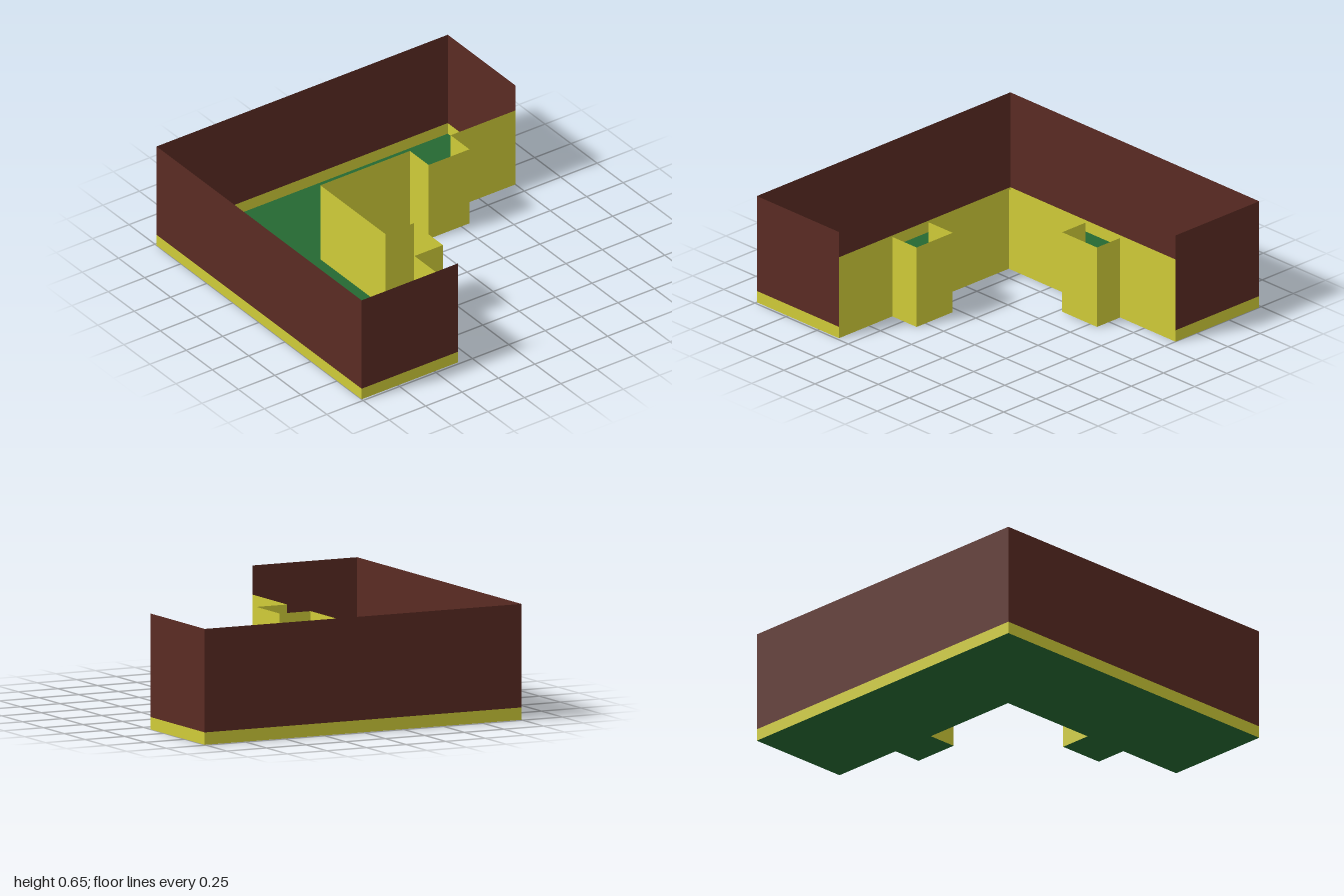
import * as THREE from 'three';

const mat = (color) => new THREE.MeshStandardMaterial({ color, side: THREE.DoubleSide, flatShading: true });

// Outer plan outline as [x, z], from one end wall round to the other
const OUTER = [[-0.335, -1], [-0.985, -1], [-0.985, 1], [0.985, 1], [0.985, 0.34]];
// Courtyard side with its two square bays
const INNER = [
  [0.985, 0.34], [0.57, 0.34], [0.57, 0.145], [0.29, 0.145], [0.29, 0.34],
  [-0.335, 0.34], [-0.335, -0.275], [-0.155, -0.275], [-0.155, -0.555],
  [-0.335, -0.555], [-0.335, -1],
];

// Thin upright sheets following a plan path between two heights
function wallRun(name, path, y0, y1, material) {
  const group = new THREE.Group();
  group.name = name;
  for (let i = 0; i < path.length - 1; i++) {
    const [ax, az] = path[i];
    const [bx, bz] = path[i + 1];
    const panel = new THREE.Mesh(
      new THREE.PlaneGeometry(Math.hypot(bx - ax, bz - az), y1 - y0), material);
    panel.name = name + 'Panel';
    panel.position.set((ax + bx) / 2, (y0 + y1) / 2, (az + bz) / 2);
    // plane normal points away from the enclosed floor
    panel.rotation.y = Math.atan2(-(bz - az), bx - ax);
    group.add(panel);
  }
  return group;
}

export function createModel() {
  const model = new THREE.Group();
  model.name = 'courtyardBuilding';
  const brown = mat(0x5a2b23);
  const yellow = mat(0xcfcb38);
  const green = mat(0x256832);

  // L-shaped floor
  const outline = [...OUTER, ...INNER.slice(1, -1)].map(([x, z]) => new THREE.Vector2(x, -z));
  const floor = new THREE.Mesh(new THREE.ShapeGeometry(new THREE.Shape(outline)), green);
  floor.name = 'floor';
  floor.rotation.x = -Math.PI / 2;
  model.add(floor);

  // Street side: low plinth with tall wall above; courtyard side: lower wall
  model.add(
    wallRun('plinth', OUTER, 0, 0.07, yellow),
    wallRun('outerWall', OUTER, 0.07, 0.655, brown),
    wallRun('courtyardWall', INNER, 0, 0.49, yellow),
  );
  return model;
}
